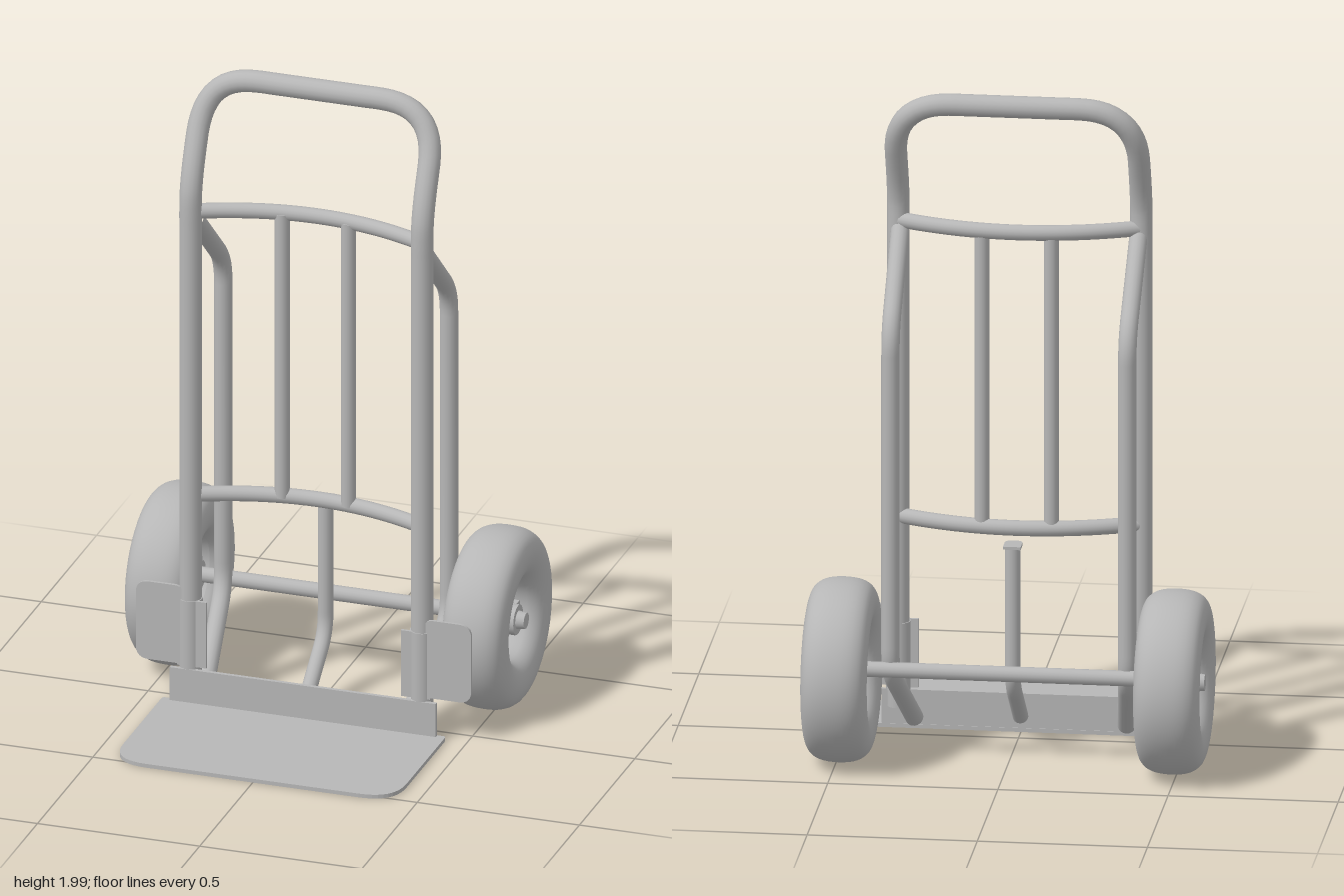
import * as THREE from 'three';

const V = (x, y, z) => new THREE.Vector3(x, y, z);

// Polyline with its inner corners rounded; bend = distance cut from each corner
function roundedPath(pts, bend) {
  const path = new THREE.CurvePath();
  let from = pts[0];
  for (let i = 1; i < pts.length - 1; i++) {
    const a = pts[i].clone().add(pts[i - 1].clone().sub(pts[i]).setLength(bend));
    const b = pts[i].clone().add(pts[i + 1].clone().sub(pts[i]).setLength(bend));
    path.add(new THREE.LineCurve3(from, a));
    path.add(new THREE.QuadraticBezierCurve3(a, pts[i], b));
    from = b;
  }
  path.add(new THREE.LineCurve3(from, pts[pts.length - 1]));
  return path;
}

// Rectangle outline with its own radius at each corner (bl, br, tr, tl)
function roundedRect(x0, y0, x1, y1, [bl, br, tr, tl]) {
  const s = new THREE.Shape();
  s.moveTo(x0 + bl, y0);
  s.lineTo(x1 - br, y0);
  s.quadraticCurveTo(x1, y0, x1, y0 + br);
  s.lineTo(x1, y1 - tr);
  s.quadraticCurveTo(x1, y1, x1 - tr, y1);
  s.lineTo(x0 + tl, y1);
  s.quadraticCurveTo(x0, y1, x0, y1 - tl);
  s.lineTo(x0, y0 + bl);
  s.quadraticCurveTo(x0, y0, x0 + bl, y0);
  return s;
}

export function createModel() {
  const model = new THREE.Group();
  model.name = 'handTruck';
  const metal = new THREE.MeshStandardMaterial({ color: 0xb6b6b6 });
  metal.name = 'grey';

  const add = (name, geometry, parent = model, x = 0, y = 0, z = 0) => {
    const mesh = new THREE.Mesh(geometry, metal);
    mesh.name = name;
    mesh.position.set(x, y, z);
    parent.add(mesh);
    return mesh;
  };
  const tube = (name, curve, r, steps = 48) =>
    add(name, new THREE.TubeGeometry(curve, steps, r, 16, false));
  const plate = (shape, depth) =>
    new THREE.ExtrudeGeometry(shape, { depth, bevelEnabled: false, curveSegments: 10 });

  // Main hoop: flat outline swept back towards the grip
  const hoop = roundedPath(
    [V(-0.357, 0.09, 0), V(-0.357, 1.967, 0), V(0.357, 1.967, 0), V(0.357, 0.09, 0)], 0.17);
  const hoopPoints = hoop.getSpacedPoints(90);
  hoopPoints.forEach((p) => { p.z = 0.036 - 0.121 * THREE.MathUtils.smoothstep(p.y, 1.6, 2.0); });
  tube('mainFrame', new THREE.CatmullRomCurve3(hoopPoints), 0.033, 180);

  // Bowed cross bars and the two slats between them
  for (const [name, y] of [['upperCrossBar', 1.575], ['lowerCrossBar', 0.67]]) {
    tube(name, new THREE.QuadraticBezierCurve3(
      V(-0.35, y, 0.025), V(0, y, -0.14), V(0.35, y, 0.025)), 0.023, 32);
  }
  for (const x of [-0.102, 0.102]) {
    add('backSlat', new THREE.CylinderGeometry(0.022, 0.022, 0.905, 16), model, x, 1.1225, -0.045);
  }

  // Axle
  add('axle', new THREE.CylinderGeometry(0.023, 0.023, 0.98, 16), model, 0, 0.285, -0.255)
    .rotation.z = Math.PI / 2;

  // Wheel geometry, shared by both sides
  const half = [[0.272, 0], [0.264, 0.055], [0.242, 0.085], [0.2, 0.097], [0.15, 0.085], [0.122, 0.05]];
  const ring = [...half.slice(1).reverse().map(([r, a]) => V(r, -a, 0)), ...half.map(([r, a]) => V(r, a, 0))];
  const profile = new THREE.CatmullRomCurve3(ring, true).getPoints(44)
    .map((p) => new THREE.Vector2(p.x, p.y));
  const tyreGeometry = new THREE.LatheGeometry(profile, 48);
  const hubGeometry = new THREE.CylinderGeometry(0.045, 0.045, 0.13, 24);
  const spokeGeometry = new THREE.BoxGeometry(0.1, 0.06, 0.024);
  const spokePos = spokeGeometry.attributes.position;
  for (let i = 0; i < spokePos.count; i++) {
    if (spokePos.getX(i) > 0) spokePos.setZ(i, spokePos.getZ(i) * 0.6);
  }
  spokeGeometry.translate(0.08, 0, 0);

  for (const s of [-1, 1]) {
    // Wheel with open spokes
    const wheel = new THREE.Group();
    wheel.name = s > 0 ? 'leftWheel' : 'rightWheel';
    wheel.position.set(s * 0.489, 0.281, -0.254);
    wheel.rotation.z = -s * Math.PI / 2;
    model.add(wheel);
    add('tyre', tyreGeometry, wheel);
    add('hub', hubGeometry, wheel);
    add('hubCap', new THREE.CylinderGeometry(0.024, 0.028, 0.03, 20), wheel, 0, 0.075, 0);
    for (let i = 0; i < 8; i++) {
      add('spoke', spokeGeometry, wheel).rotation.y = (i * Math.PI) / 4;
    }

    // Rear brace: from the hoop, down past the axle, forward to the toe plate
    tube('rearBrace', roundedPath([
      V(s * 0.35, 1.55, 0.02), V(s * 0.348, 1.315, -0.233),
      V(s * 0.348, 0.27, -0.235), V(s * 0.312, 0.045, 0.05)], 0.07), 0.027, 80);

    // Closed foot of the hoop
    add('frameFoot', new THREE.CylinderGeometry(0.033, 0.033, 0.01, 16), model, s * 0.357, 0.09, 0.036);

    // Wheel guard with its mounting sleeve
    const outer = s > 0
      ? roundedRect(0.37, 0.14, 0.517, 0.388, [0.02, 0.04, 0.04, 0.03])
      : roundedRect(-0.517, 0.14, -0.37, 0.388, [0.04, 0.02, 0.03, 0.04]);
    add('wheelGuard', plate(outer, 0.009), model, 0, 0, 0.053);
    add('guardMount', new THREE.BoxGeometry(0.09, 0.21, 0.009), model, s * 0.345, 0.24, 0.0575);
    add('guardSleeve', new THREE.CylinderGeometry(0.036, 0.036, 0.21, 20), model, s * 0.357, 0.24, 0.036);
  }

  // Centre strut with a small hooked tab on top
  tube('centreStrut', roundedPath(
    [V(0, 0.64, -0.138), V(0, 0.215, -0.138), V(0, 0.06, 0.05)], 0.06), 0.023, 48);
  add('strutTab', plate(roundedRect(-0.026, -0.095, 0.026, -0.01 - 0.02, [0, 0, 0.024, 0.024]), 0.009),
    model, 0, 0.645, -0.19).rotation.x = Math.PI / 2;
  model.children[model.children.length - 1].position.z = -0.068;

  // Toe plate and its upright flange
  const toe = add('toePlate',
    plate(roundedRect(-0.437, 0.055, 0.437, 0.523, [0.01, 0.01, 0.11, 0.11]), 0.012), model, 0, 0.022, 0);
  toe.rotation.x = Math.PI / 2;
  add('toeFlange', new THREE.BoxGeometry(0.82, 0.117, 0.012), model, 0, 0.0685, 0.063);

  return model;
}
